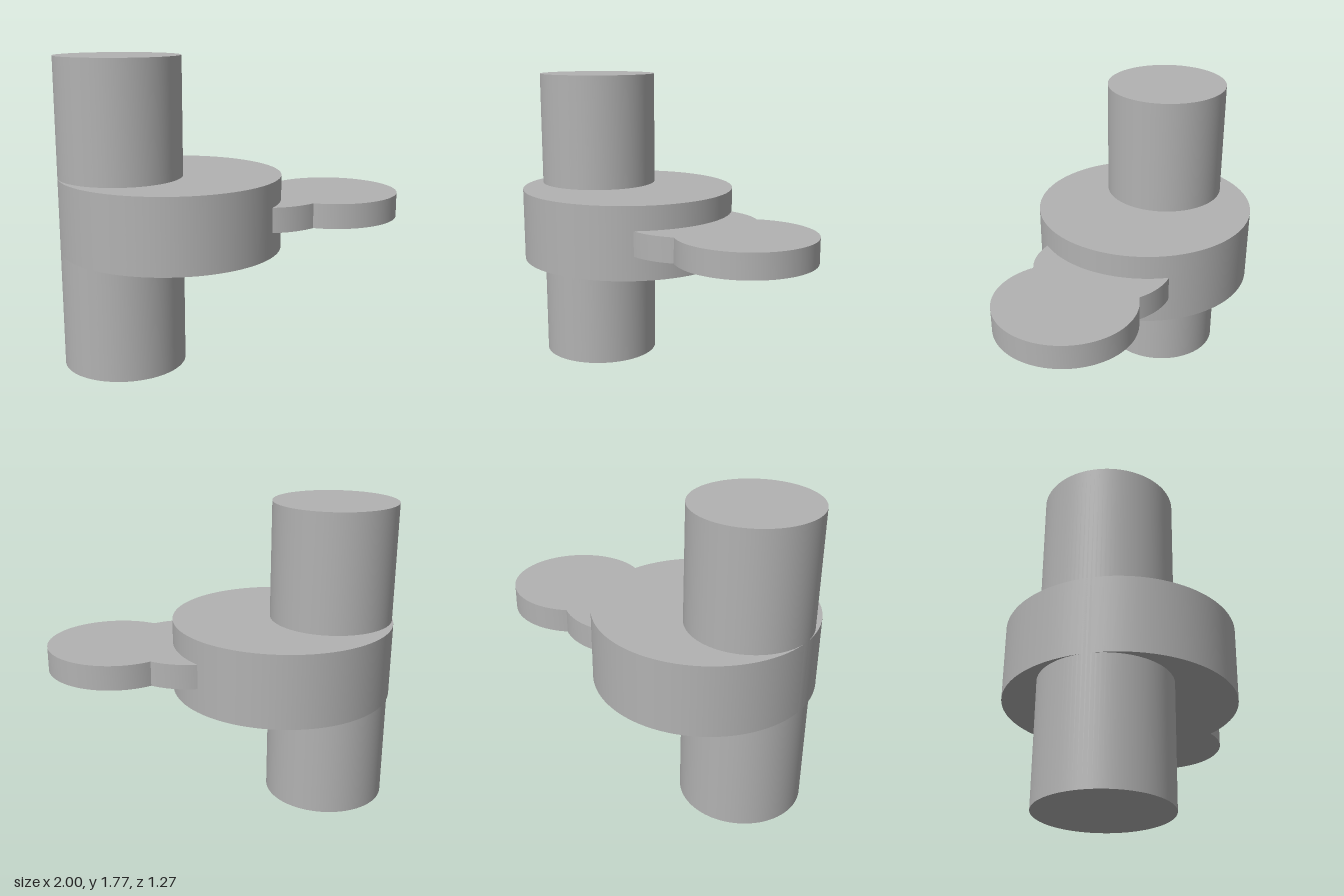
import * as THREE from 'three';
import { toCreasedNormals } from 'three/addons/utils/BufferGeometryUtils.js';

export function createModel() {
  const model = new THREE.Group();
  const grey = new THREE.MeshStandardMaterial({ color: 0xb2b2b2 });
  grey.name = 'grey';

  function add(name, geometry, x, y) {
    const mesh = new THREE.Mesh(geometry, grey);
    mesh.name = name;
    mesh.position.set(x, y, 0);
    model.add(mesh);
  }

  // Upright cylinder spanning bottom to top
  function cylinder(name, x, radius, bottom, top) {
    add(name, new THREE.CylinderGeometry(radius, radius, top - bottom, 96), x, (bottom + top) / 2);
  }

  cylinder('shaft', -0.647, 0.353, 0, 1.775);
  cylinder('eccentricDisc', -0.363, 0.637, 0.677, 1.1);

  // Flat tab: two overlapping circles merged into one outline
  const radius = 0.395, inner = 0.18, outer = 0.605;
  const meet = Math.acos((outer - inner) / 2 / radius);
  const outline = new THREE.Shape();
  outline.absarc(outer, 0, radius, meet - Math.PI, Math.PI - meet, false);
  outline.absarc(inner, 0, radius, meet, 2 * Math.PI - meet, false);
  const tab = new THREE.ExtrudeGeometry(outline, { depth: 0.143, bevelEnabled: false, curveSegments: 48 });
  tab.rotateX(-Math.PI / 2);
  add('lobedTab', toCreasedNormals(tab, 0.5), 0, 0.817);

  return model;
}
